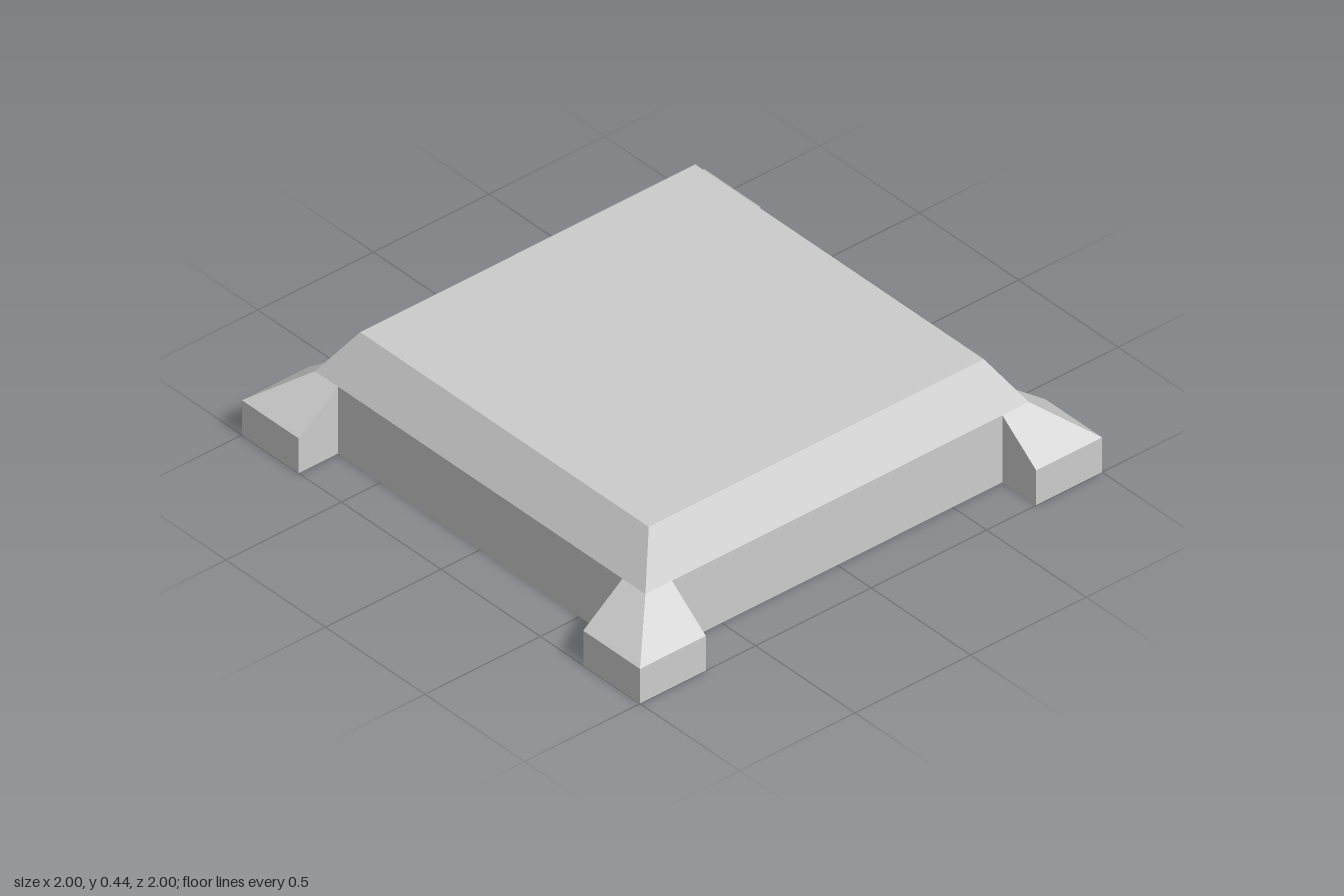
import * as THREE from 'three';

const material = new THREE.MeshStandardMaterial({ color: 0xcccccc, flatShading: true, side: THREE.DoubleSide });

// Half-widths and heights of the stepped shell
const TOP = 0.725, BODY = 0.83, FOOT = 1, NOTCH = 0.715;
const Y_TOP = 0.435, Y_BODY = 0.27, Y_FOOT = 0.14;

// Mesh from quads, each four corners counter-clockwise seen from outside
function panels(name, quads) {
  const positions = quads.flatMap(([a, b, c, d]) => [a, b, c, a, c, d].flat());
  const geometry = new THREE.BufferGeometry();
  geometry.setAttribute('position', new THREE.Float32BufferAttribute(positions, 3));
  geometry.computeVertexNormals();
  const mesh = new THREE.Mesh(geometry, material);
  mesh.name = name;
  return mesh;
}

// Upright wall and the bevel above it, facing +z
function createSide() {
  const side = new THREE.Group();
  side.name = 'side';
  side.add(
    panels('wall', [[[-NOTCH, 0, BODY], [NOTCH, 0, BODY], [NOTCH, Y_BODY, BODY], [-NOTCH, Y_BODY, BODY]]]),
    panels('bevel', [[[-BODY, Y_BODY, BODY], [BODY, Y_BODY, BODY], [TOP, Y_TOP, TOP], [-TOP, Y_TOP, TOP]]])
  );
  return side;
}

// Hollow corner foot at +x +z, open below and towards the body
function createFoot() {
  const half = [
    // outer wall
    [[NOTCH, 0, FOOT], [FOOT, 0, FOOT], [FOOT, Y_FOOT, FOOT], [NOTCH, Y_FOOT, FOOT]],
    // mitred slope
    [[NOTCH, Y_FOOT, FOOT], [FOOT, Y_FOOT, FOOT], [BODY, Y_BODY, BODY], [NOTCH, Y_BODY, BODY]],
    // cheek
    [[NOTCH, 0, BODY], [NOTCH, 0, FOOT], [NOTCH, Y_FOOT, FOOT], [NOTCH, Y_BODY, BODY]]
  ];
  // the other half mirrors across the diagonal, with its winding reversed
  const mirrored = half.map(quad => quad.map(([x, y, z]) => [z, y, x]).reverse());
  return panels('cornerFoot', [...half, ...mirrored]);
}

export function createModel() {
  const model = new THREE.Group();
  model.name = 'hollowBase';

  model.add(panels('topPlate', [[
    [-TOP, Y_TOP, TOP], [TOP, Y_TOP, TOP], [TOP, Y_TOP, -TOP], [-TOP, Y_TOP, -TOP]
  ]]));

  // Four identical sides and corners
  for (let i = 0; i < 4; i++) {
    for (const part of [createSide(), createFoot()]) {
      part.rotation.y = i * Math.PI / 2;
      model.add(part);
    }
  }
  return model;
}
